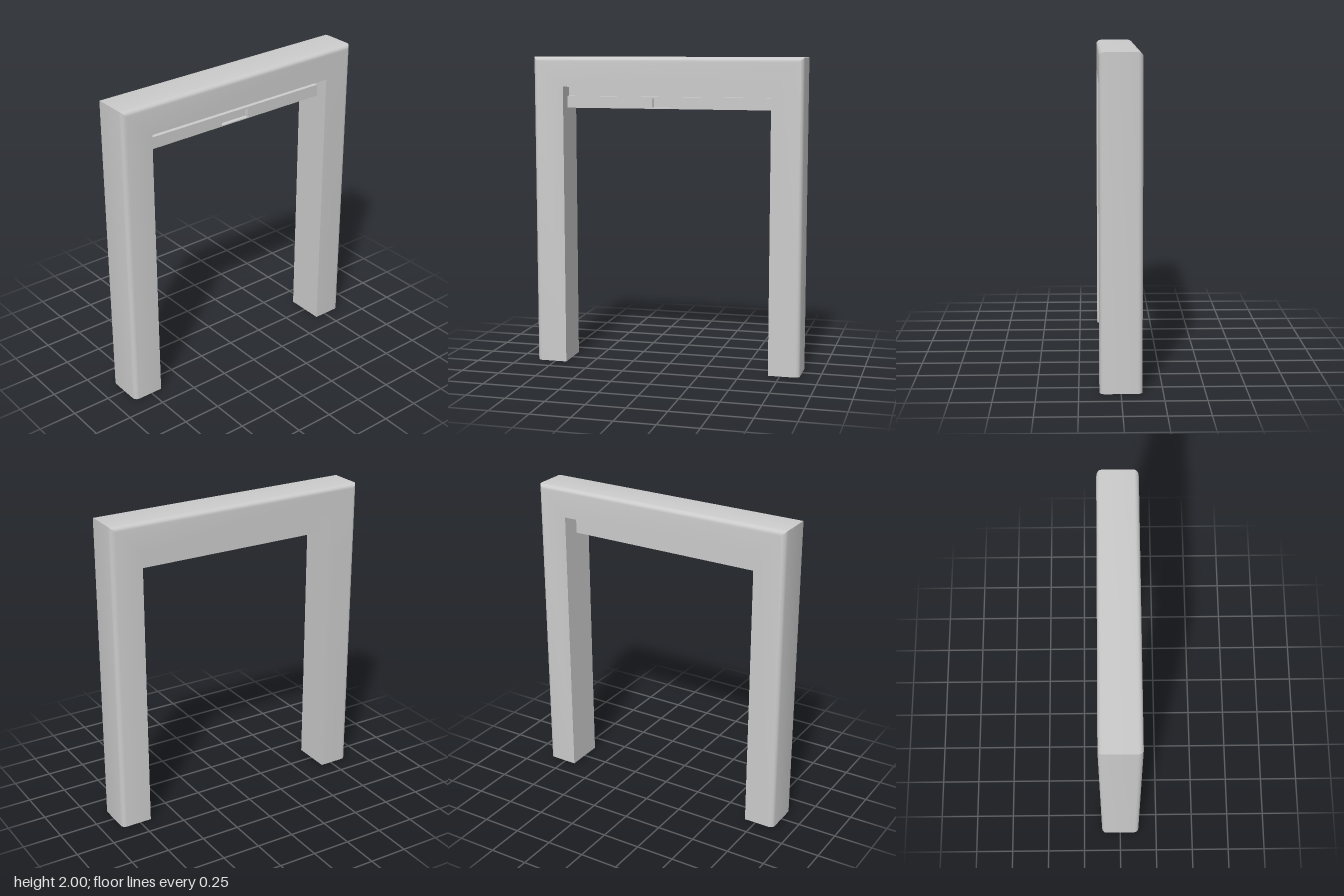
import * as THREE from 'three';
import { toCreasedNormals } from 'three/addons/utils/BufferGeometryUtils.js';

const material = new THREE.MeshStandardMaterial({ color: 0xcccccc });

const HALF_W = 0.875, HEIGHT = 2, HALF_D = 0.127;   // outer size
const OPEN_X = 0.675, OPEN_Y = 1.81;                // opening
const RADIUS = 0.03, STEPS = 4;                     // rounded outer edges

function addMesh(parent, name, geometry, x = 0, y = 0, z = 0) {
  const mesh = new THREE.Mesh(geometry, material);
  mesh.name = name;
  mesh.position.set(x, y, z);
  parent.add(mesh);
}

// Portal: a section with rounded outer edges, mitred around the opening.
function portalGeometry() {
  // section points [x, y, z] for the right half, from inner front to inner back
  const section = [[OPEN_X, OPEN_Y, HALF_D]];
  for (const side of [1, -1]) {
    for (let i = 0; i <= STEPS; i++) {
      const a = (side > 0 ? i : STEPS - i) / STEPS * Math.PI / 2;
      const inset = RADIUS * (1 - Math.sin(a));
      section.push([HALF_W - inset, HEIGHT - inset, side * (HALF_D - RADIUS + RADIUS * Math.cos(a))]);
    }
  }
  section.push([OPEN_X, OPEN_Y, -HALF_D]);

  // stations: right foot, right mitre, left mitre, left foot (as seen from the front)
  const stations = [[1, 0], [1, 1], [-1, 1], [-1, 0]];
  const n = section.length;
  const positions = [], index = [];
  for (const [sx, sy] of stations)
    for (const [x, y, z] of section) positions.push(sx * x, sy * y, z);
  for (let s = 0; s < 3; s++) {
    for (let i = 0; i < n; i++) {
      const a = s * n + i, b = s * n + (i + 1) % n;
      index.push(a, b, a + n, b, b + n, a + n);
    }
  }
  // flat feet
  for (let i = 1; i < n - 1; i++) {
    index.push(0, i + 1, i);
    index.push(3 * n, 3 * n + i, 3 * n + i + 1);
  }
  const geometry = new THREE.BufferGeometry();
  geometry.setAttribute('position', new THREE.Float32BufferAttribute(positions, 3));
  geometry.setIndex(index);
  return toCreasedNormals(geometry, 0.6);
}

function rectangle(Type, x0, y0, x1, y1) {
  return new Type().moveTo(x0, y0).lineTo(x1, y0).lineTo(x1, y1).lineTo(x0, y1).closePath();
}

export function createModel() {
  const model = new THREE.Group();
  model.name = 'doorPortal';
  addMesh(model, 'portalFrame', portalGeometry());

  // Crossbar under the lintel: tall back panel and a lower front rail
  const crossbar = new THREE.Group();
  crossbar.name = 'crossbar';
  model.add(crossbar);
  const bottom = 1.672, ledge = 1.748, back = -0.008, middle = 0.015, front = 0.044;
  addMesh(crossbar, 'backPanel',
    new THREE.BoxGeometry(2 * OPEN_X, OPEN_Y - bottom, middle - back),
    0, (OPEN_Y + bottom) / 2, (middle + back) / 2);

  // Front rail with a recessed window in the middle
  const rail = rectangle(THREE.Shape, -OPEN_X, bottom, OPEN_X, ledge);
  rail.holes.push(rectangle(THREE.Path, -0.103, 1.679, 0.103, 1.737));
  addMesh(crossbar, 'frontRail',
    new THREE.ExtrudeGeometry(rail, { depth: front - middle, bevelEnabled: false }), 0, 0, middle);

  return model;
}
